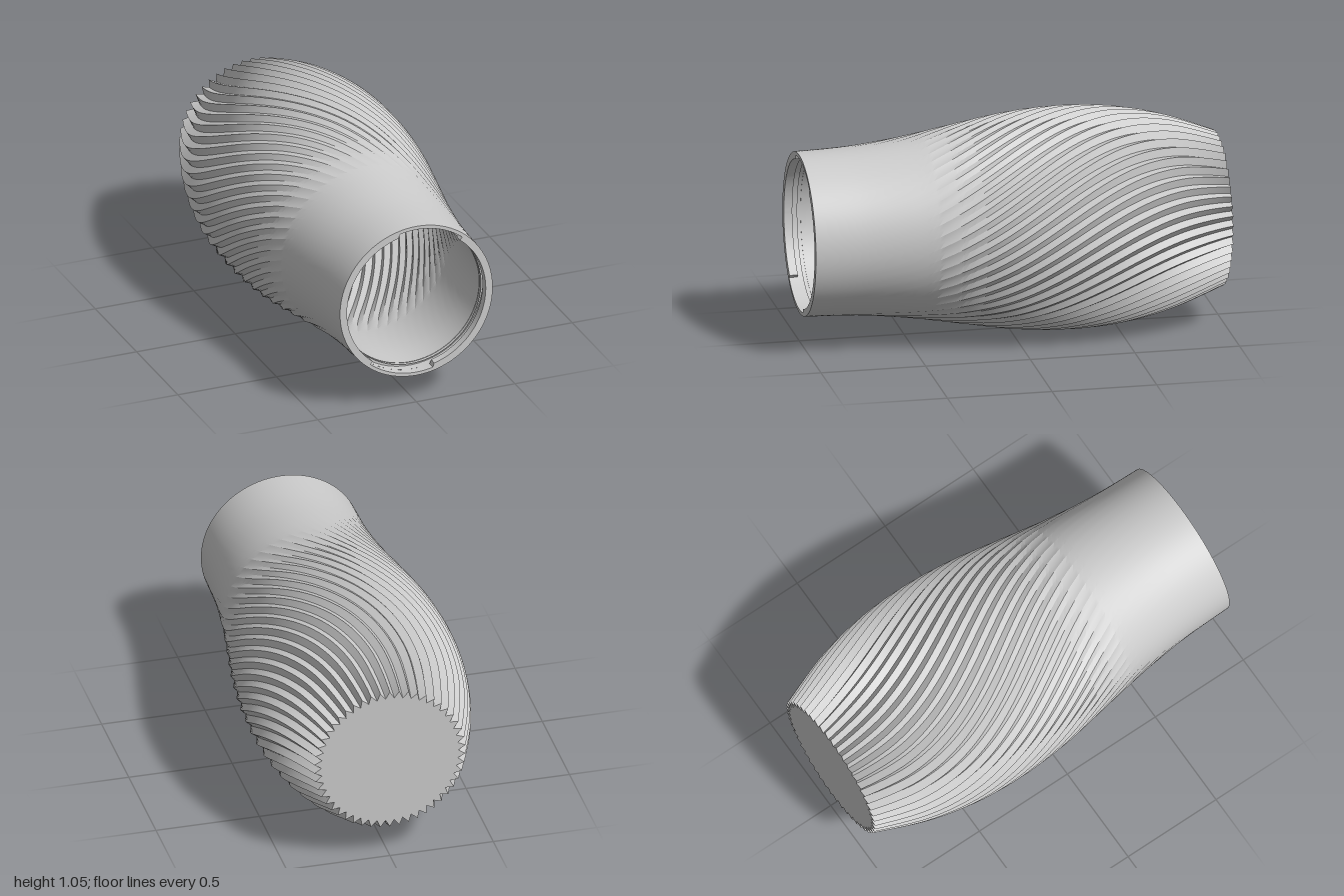
import * as THREE from 'three';
import { toCreasedNormals } from 'three/addons/utils/BufferGeometryUtils.js';

const RIBS = 50;
const COLS = RIBS * 2; // one crest and one valley per rib
const ROWS = 72;
const TWIST = Math.PI / 2;
const LIP_R = 0.352, GROOVE_R = 0.37, RIM_R = 0.387;
const rad = THREE.MathUtils.degToRad;

// Crest radius along z, from the closed base to the open neck
const profile = new THREE.SplineCurve(
  [0.366, 0.458, 0.511, 0.525, 0.508, 0.467, 0.425, 0.397, 0.388]
    .map((r, i) => new THREE.Vector2(-1 + i * 0.25, r))
);

// One ring of the ribbed wall: ribs twist along z and fade toward the neck
function ring(t, inset, scale = 1) {
  const p = profile.getPoint(t);
  const depth = 0.035 * Math.pow(Math.max(0, 1 - t / 0.9), 1.2);
  const turn = Math.PI / 2 - TWIST * (1 - Math.cos(Math.PI * t)) / 2;
  return Array.from({ length: COLS }, (_, i) => {
    const a = turn + (i / COLS) * Math.PI * 2;
    const r = (p.y - (i % 2 ? depth : 0) - inset) * scale;
    return [r * Math.cos(a), r * Math.sin(a), p.x];
  });
}

// Wall through a series of rings, closed by a flat floor at the first ring
function wall(t0, t1, inset, inward) {
  const rings = [ring(t0, 0, 0)];
  for (let j = 0; j <= ROWS; j++) {
    const t = t0 + (t1 - t0) * j / ROWS;
    rings.push(ring(t, inset(t)));
  }
  const index = [];
  for (let j = 0; j < rings.length - 1; j++) {
    for (let i = 0; i < COLS; i++) {
      const n = (i + 1) % COLS;
      const a = j * COLS + i, b = j * COLS + n, c = a + COLS, d = b + COLS;
      if (inward) index.push(a, c, b, b, c, d);
      else index.push(a, b, c, b, d, c);
    }
  }
  const g = new THREE.BufferGeometry();
  g.setAttribute('position', new THREE.Float32BufferAttribute(rings.flat(2), 3));
  g.setIndex(index);
  return toCreasedNormals(g, 0.5);
}

export function createModel() {
  const group = new THREE.Group();
  const grey = new THREE.MeshStandardMaterial({ color: 0xcccccc });
  const thin = new THREE.MeshStandardMaterial({ color: 0xcccccc, side: THREE.DoubleSide });
  const add = (name, geometry, material = grey) => {
    const mesh = new THREE.Mesh(geometry, material);
    mesh.name = name;
    group.add(mesh);
    return mesh;
  };

  // Ribbed body, outside and inside
  add('outerWall', wall(0, 1, () => 0, false));
  add('innerWall', wall(0.01, 0.96, t => 0.015 + 0.022 * t, true));

  // Neck lip with two entry notches
  const lip = new THREE.Shape().absarc(0, 0, RIM_R, 0, Math.PI * 2);
  const hole = new THREE.Path();
  for (const start of [51, 231]) {
    hole.absarc(0, 0, GROOVE_R, rad(start), rad(start + 52));
    hole.absarc(0, 0, LIP_R, rad(start + 54), rad(start + 180));
  }
  hole.closePath();
  lip.holes.push(hole);
  const lipGeometry = new THREE.ExtrudeGeometry(lip, { depth: 0.04, bevelEnabled: false, curveSegments: 48 });
  add('neckLip', toCreasedNormals(lipGeometry, 0.5)).position.z = 0.96;

  // Locking groove behind the lip, and the ledge below it
  const groove = new THREE.CylinderGeometry(GROOVE_R, GROOVE_R, 0.04, 96, 1, true).rotateX(Math.PI / 2);
  add('lockingGroove', groove, thin).position.z = 0.94;
  add('grooveLedge', new THREE.RingGeometry(LIP_R, GROOVE_R, 96), thin).position.z = 0.92;

  group.position.y = 0.525;
  const model = new THREE.Group();
  model.name = 'twistedVase';
  group.name = 'vaseBody';
  model.add(group);
  return model;
}
